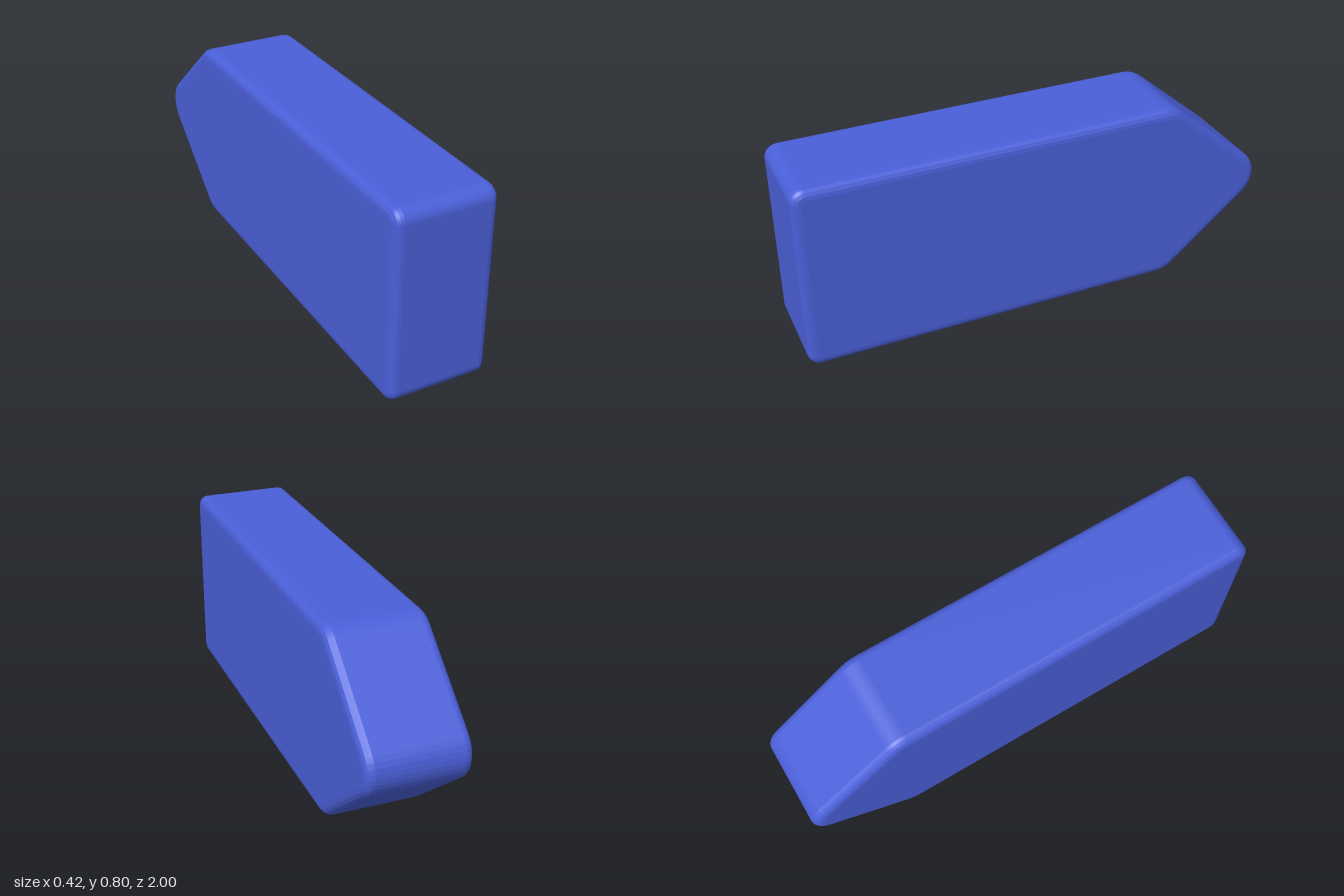
import * as THREE from 'three';

const WIDTH = 0.416, BEVEL_X = 0.034, BEVEL = 0.04;

// Rounded corners of the side outline: [along, up, radius, start degrees, end degrees]
const corners = [
  [-0.945, 0.055, 0.055, 180, 270],
  [0.543, 0.13, 0.13, 270, 310],
  [0.88, 0.4, 0.12, -50, 50],
  [0.543, 0.67, 0.13, 50, 90],
  [-0.945, 0.745, 0.055, 90, 180],
];

export function createModel() {
  const group = new THREE.Group();
  group.name = 'pointedBlock';

  // Side outline; straight edges join the corner arcs
  const outline = new THREE.Shape();
  for (const [u, v, r, a, b] of corners) {
    outline.absarc(u, v, r, THREE.MathUtils.degToRad(a), THREE.MathUtils.degToRad(b), false);
  }

  // Extruded across the width with rounded rims, point turned towards the back
  const geometry = new THREE.ExtrudeGeometry(outline, {
    depth: WIDTH - 2 * BEVEL_X,
    curveSegments: 5,
    bevelEnabled: true,
    bevelThickness: BEVEL_X,
    bevelSize: BEVEL,
    bevelOffset: -BEVEL,
    bevelSegments: 4,
  });
  geometry.translate(0, 0, BEVEL_X - WIDTH / 2);
  geometry.rotateY(Math.PI / 2);

  const body = new THREE.Mesh(geometry, new THREE.MeshStandardMaterial({ color: 0x4a5fd8 }));
  body.name = 'body';
  group.add(body);
  return group;
}
